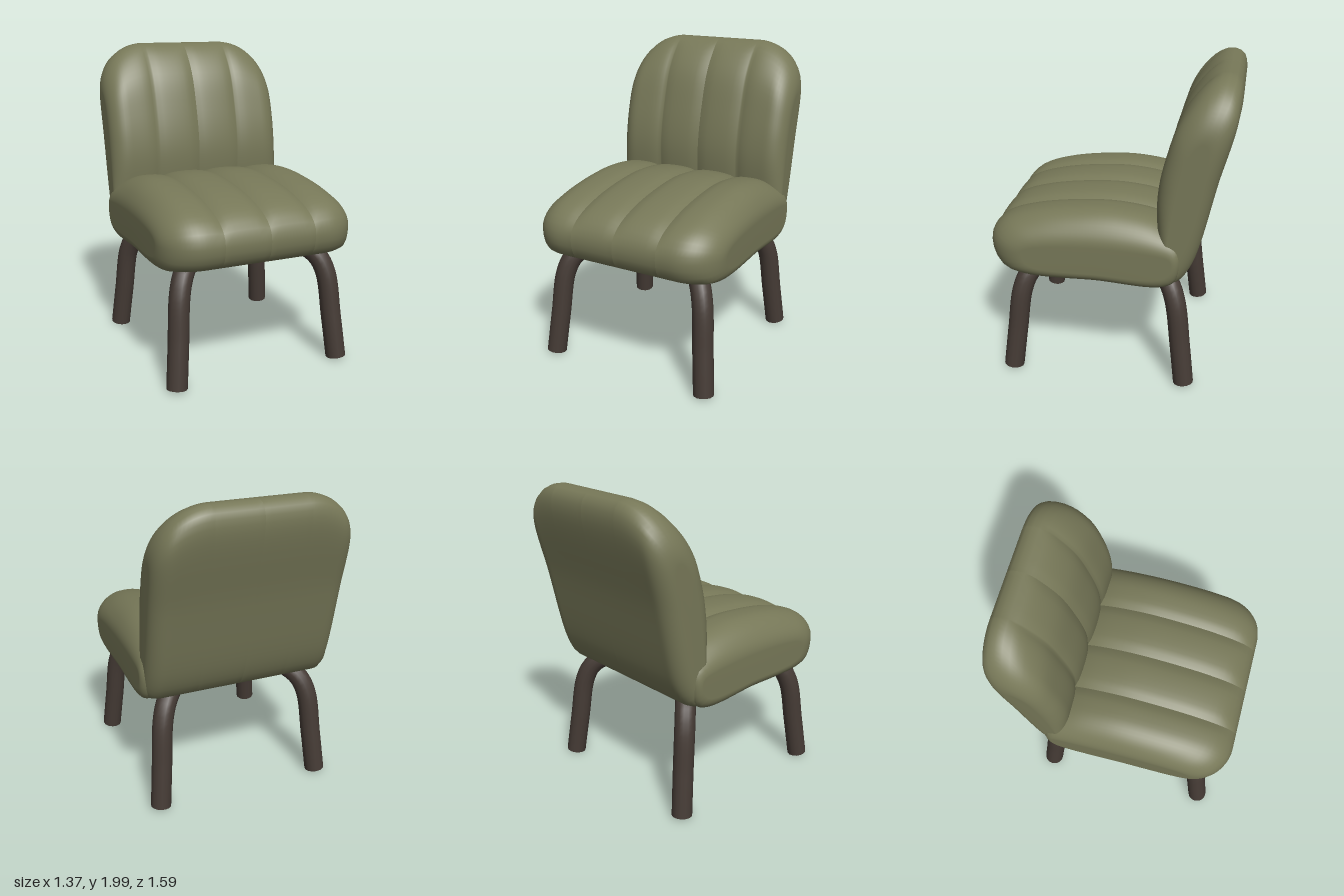
import * as THREE from 'three';

const SEAMS = [-0.3, 0, 0.3];
const clamp01 = (t) => Math.min(1, Math.max(0, t));

// Depth of the stitched grooves between the padded channels
const groove = (x, depth) =>
  depth * SEAMS.reduce((m, s) => Math.max(m, Math.exp(-Math.abs(x - s) / 0.04)), 0);

// Inset of a round corner of radius r at distance x from the middle of a part of half width a
function inset(x, a, r) {
  const d = Math.max(0, Math.abs(x) - (a - r)) / r;
  return r * (1 - Math.sqrt(Math.max(0, 1 - d * d)));
}

// Lofts a closed side profile of [z, y] points across x, rounding it off towards both ends
function cushion(points, a, mid, radii, rule) {
  const curve = new THREE.CatmullRomCurve3(
    points.map(([z, y]) => new THREE.Vector3(0, y, z)), true, 'centripetal');
  const N = 64;
  const loop = curve.getSpacedPoints(N).slice(0, N);
  const zs = loop.map((p) => p.z), ys = loop.map((p) => p.y);
  const ext = {
    front: Math.max(...zs) - mid[0], back: mid[0] - Math.min(...zs),
    top: Math.max(...ys) - mid[1], bottom: mid[1] - Math.min(...ys),
  };
  const stations = [...SEAMS];
  for (let i = 0; i <= 52; i++) stations.push(a * Math.sin((i / 52 - 0.5) * Math.PI) + 1e-5);
  stations.sort((p, q) => p - q);

  const pos = [], index = [];
  for (const x of stations) {
    const k = {};
    for (const side in radii) k[side] = 1 - inset(x, a, radii[side]) / ext[side];
    for (const p of loop) {
      const dz = p.z - mid[0], dy = p.y - mid[1];
      const [z, y] = rule(x,
        mid[0] + dz * (dz > 0 ? k.front : k.back),
        mid[1] + dy * (dy > 0 ? k.top : k.bottom));
      pos.push(x, y, z);
    }
  }
  const last = stations.length - 1;
  for (let i = 0; i < last; i++) {
    for (let j = 0; j < N; j++) {
      const j1 = (j + 1) % N;
      const p = i * N + j, q = p + N, r = (i + 1) * N + j1, s = i * N + j1;
      index.push(p, q, r, p, r, s);
    }
  }
  // End caps
  for (const row of [0, last]) {
    const c = pos.length / 3;
    const [z, y] = rule(stations[row], mid[0], mid[1]);
    pos.push(stations[row], y, z);
    for (let j = 0; j < N; j++) {
      const p = row * N + j, q = row * N + (j + 1) % N;
      if (row === 0) index.push(c, p, q); else index.push(c, q, p);
    }
  }
  const geo = new THREE.BufferGeometry();
  geo.setAttribute('position', new THREE.Float32BufferAttribute(pos, 3));
  geo.setIndex(index);
  geo.computeVertexNormals();
  return geo;
}

export function createModel() {
  const fabric = new THREE.MeshStandardMaterial({ color: 0x777858 });
  fabric.name = 'olive fabric';
  const wood = new THREE.MeshStandardMaterial({ color: 0x453b35 });
  wood.name = 'dark wood';

  const chair = new THREE.Group();
  chair.name = 'chair';
  const add = (name, geo, mat, parent = chair) => {
    const mesh = new THREE.Mesh(geo, mat);
    mesh.name = name;
    parent.add(mesh);
    return mesh;
  };

  // Seat cushion, crowned on top
  add('seat', cushion(
    [[-0.4, 0.75], [0.1, 0.727], [0.62, 0.732], [0.74, 0.775], [0.78, 0.87], [0.765, 0.97],
      [0.68, 1.06], [0.5, 1.125], [0.2, 1.17], [-0.05, 1.175], [-0.3, 1.13], [-0.42, 1.06]],
    0.645, [0.1, 0.89], { front: 0.25, back: 0.05, top: 0.2, bottom: 0.075 },
    (x, z, y) => {
      const t = clamp01((y - 0.93) / 0.15);
      return [z, y - t * (groove(x, 0.028) + 0.04 * x * x)];
    }), fabric);

  // Backrest: upright profile, then leaned backwards
  add('backrest', cushion(
    [[-0.5, 0.755], [-0.44, 0.735], [-0.37, 0.84], [-0.275, 1.08], [-0.217, 1.3], [-0.203, 1.55],
      [-0.228, 1.8], [-0.31, 1.95], [-0.39, 1.995], [-0.48, 1.975], [-0.535, 1.88],
      [-0.545, 1.4], [-0.545, 0.87]],
    0.622, [-0.38, 1.35], { front: 0.12, back: 0.11, top: 0.33, bottom: 0.08 },
    (x, w, y) => {
      const t = clamp01((w + 0.38) / 0.1);
      return [w - t * groove(x, 0.022) - 0.245 * (y - 1), y];
    }), fabric);

  // Splayed legs that bend inwards under the seat
  const legPath = [[0.56, 0.568, 0.01], [0.535, 0.535, 0.28], [0.507, 0.495, 0.57],
    [0.465, 0.45, 0.68], [0.37, 0.355, 0.765]];
  for (const sz of [1, -1]) {
    for (const sx of [1, -1]) {
      const leg = new THREE.Group();
      leg.name = (sz > 0 ? 'front' : 'back') + (sx > 0 ? 'Left' : 'Right') + 'Leg';
      const path = new THREE.CatmullRomCurve3(
        legPath.map(([x, z, y]) => new THREE.Vector3(sx * x, y, 0.08 + sz * z)));
      add('legTube', new THREE.TubeGeometry(path, 24, 0.065, 14), wood, leg);
      const foot = add('footCap', new THREE.CircleGeometry(0.065, 14), wood, leg);
      const start = path.getPoint(0);
      foot.position.copy(start);
      foot.quaternion.setFromUnitVectors(
        new THREE.Vector3(0, 0, 1), path.getTangent(0).negate());
      chair.add(leg);
    }
  }

  // The whole chair is turned slightly
  chair.rotation.y = -0.09;
  chair.position.x = 0.012;
  const model = new THREE.Group();
  model.name = 'paddedChair';
  model.add(chair);
  return model;
}
